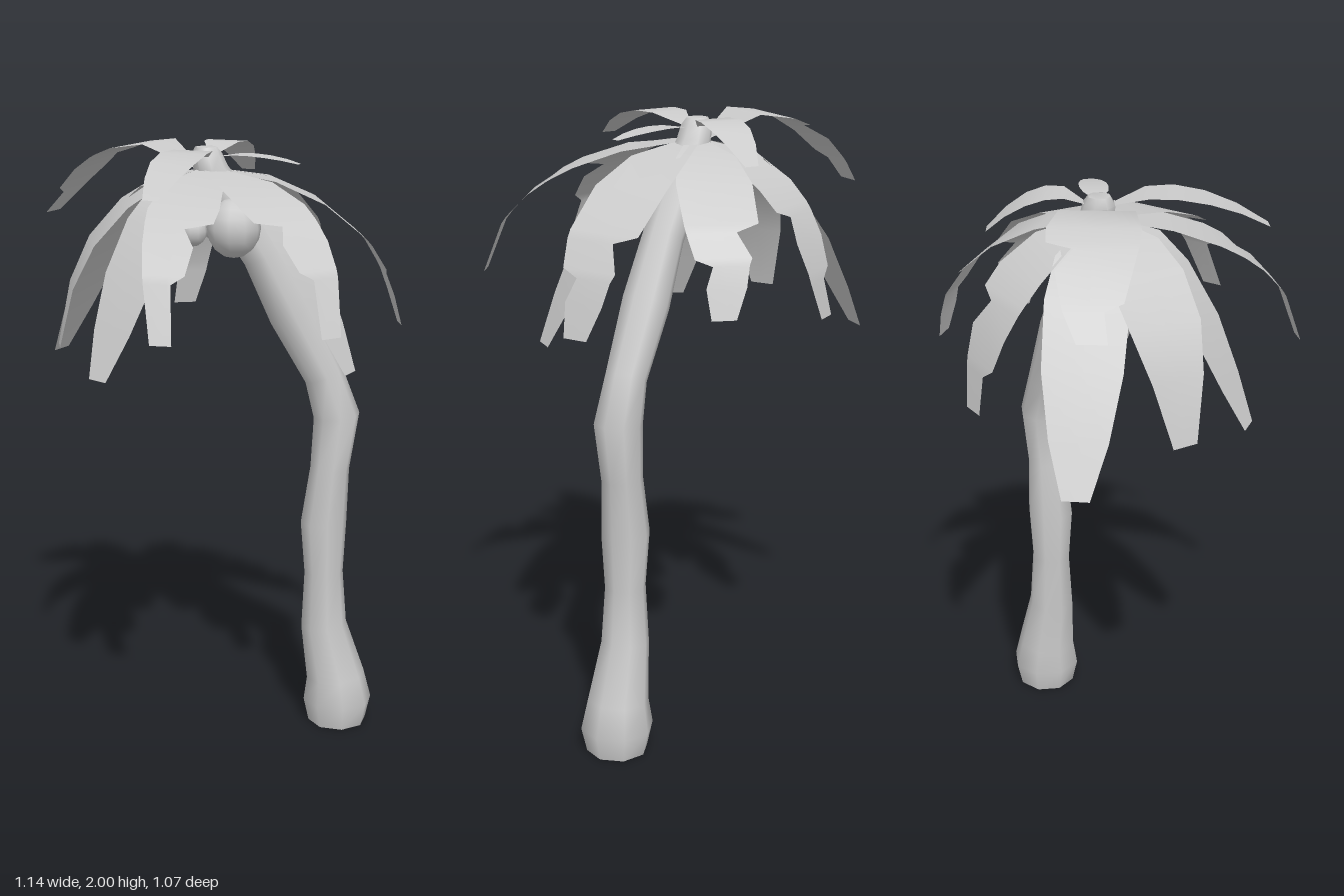
import * as THREE from 'three';
import { toCreasedNormals } from 'three/addons/utils/BufferGeometryUtils.js';

const material = new THREE.MeshStandardMaterial({ color: 0xcccccc });
const leafMaterial = new THREE.MeshStandardMaterial({ color: 0xcccccc, side: THREE.DoubleSide });
const CROWN = new THREE.Vector2(-0.055, -0.075);

function indexed(positions, indices) {
  const g = new THREE.BufferGeometry();
  g.setAttribute('position', new THREE.Float32BufferAttribute(positions, 3));
  g.setIndex(indices);
  g.computeVertexNormals();
  return g;
}

// Trunk: rings [x, y, radius, lean in radians] joined into a closed tube
function makeTrunk() {
  const rings = [
    [0.39, 0, 0.1, 0], [0.39, 0.08, 0.118, 0], [0.382, 0.17, 0.1, 0.1],
    [0.338, 0.36, 0.078, 0.1], [0.335, 0.55, 0.066, 0], [0.332, 0.73, 0.078, 0],
    [0.35, 0.92, 0.066, -0.08], [0.37, 1.1, 0.077, 0.1], [0.325, 1.24, 0.066, 0.4],
    [0.215, 1.45, 0.076, 0.5], [0.12, 1.64, 0.066, 0.5], [0.02, 1.8, 0.07, 0.5],
    [-0.045, 1.91, 0.055, 0.3], [-0.06, 1.96, 0.05, 0.1], [-0.062, 1.985, 0.035, 0],
  ];
  const sides = 8, positions = [], indices = [];
  for (const [x, y, r, lean] of rings) {
    for (let i = 0; i < sides; i++) {
      const a = (i / sides) * Math.PI * 2;
      const c = Math.cos(a) * r;
      positions.push(x + c * Math.cos(lean), y + c * Math.sin(lean), -0.06 - 0.02 * (y / 2) ** 4 + Math.sin(a) * r);
    }
  }
  for (let j = 0; j < rings.length - 1; j++) {
    for (let i = 0; i < sides; i++) {
      const a = j * sides + i, b = j * sides + (i + 1) % sides;
      indices.push(a, a + sides, b, b, a + sides, b + sides);
    }
  }
  const last = (rings.length - 1) * sides;
  for (let i = 1; i < sides - 1; i++) {
    indices.push(0, i, i + 1, last, last + i + 1, last + i);
  }
  return toCreasedNormals(indexed(positions, indices), 0.95);
}

// Outlines: rows [distance along leaf, left half width, right half width];
// a sudden change between close rows makes a torn notch
const outlines = {
  whole: [[0, 0.2, 0.2], [0.22, 0.85, 0.85], [0.4, 1, 1], [0.6, 0.95, 0.95],
    [0.8, 0.7, 0.7], [1, 0.33, 0.33]],
  notched: [[0, 0.2, 0.2], [0.22, 0.8, 0.8], [0.42, 1, 1], [0.62, 0.95, 0.98],
    [0.66, 0.35, 0.95], [0.78, 0.68, 0.8], [0.81, 0.6, 0.35], [0.88, 0.5, 0.55], [1, 0.2, 0.45]],
  torn: [[0, 0.2, 0.2], [0.25, 0.85, 0.8], [0.45, 1, 1], [0.56, 0.98, 0.98],
    [0.6, 0.95, 0.4], [0.72, 0.85, 0.75], [0.84, 0.7, 0.6], [0.87, 0.3, 0.55], [1, 0.4, 0.25]],
  splitRight: [[0, 0.2, 0.2], [0.22, 0.85, 0.85], [0.4, 1, 1], [0.48, 0.95, 0.95],
    [0.51, 0.92, 0.2], [0.6, 0.85, 0.55], [0.74, 0.7, 0.45], [0.78, 0.65, 0.1], [1, 0.35, 0.25]],
};
outlines.splitLeft = outlines.splitRight.map(([t, left, right]) => [t, right, left]);

// Sideways profiles: (share of reach, share of drop)
const profile = (points) => new THREE.SplineCurve(points.map(([x, y]) => new THREE.Vector2(x, y)));
const droop = profile([[0, 0], [0.3, 0.06], [0.55, 0.19], [0.77, 0.4], [0.91, 0.65], [1, 1]]);
const slope = profile([[0, 0], [0.3, 0.08], [0.5, 0.24], [0.71, 0.5], [0.87, 0.77], [1, 1]]);
const arch = profile([[0, 0.3], [0.25, 0], [0.5, 0.1], [0.75, 0.42], [1, 1]]);

// Leaf: a thin bent strip from the crown to its tip
function makeLeaf([tipX, tipY, tipZ], startY, halfWidth, outline, curve, rootGap) {
  const dir = new THREE.Vector2(tipX, tipZ).sub(CROWN);
  const reach = dir.length() - rootGap;
  dir.normalize();
  const positions = [], indices = [];
  const rows = outlines[outline];
  rows.forEach(([t, left, right], j) => {
    const p = curve.getPoint(t);
    const out = rootGap + p.x * reach;
    for (const w of [left, 0, -right]) {
      positions.push(
        CROWN.x + dir.x * out + dir.y * w * halfWidth,
        startY - p.y * (startY - tipY),
        CROWN.y + dir.y * out - dir.x * w * halfWidth);
    }
    if (j === rows.length - 1) return;
    for (let i = 0; i < 2; i++) {
      const a = j * 3 + i;
      indices.push(a, a + 1, a + 3, a + 1, a + 4, a + 3);
    }
  });
  return indexed(positions, indices);
}

export function createModel() {
  const group = new THREE.Group();
  const add = (name, geometry, mat = material) => {
    const mesh = new THREE.Mesh(geometry, mat);
    mesh.name = name;
    group.add(mesh);
    return mesh;
  };

  add('trunk', makeTrunk());

  // Drooping lower leaves
  const lower = [
    ['leftSide', [0.57, 1.41, -0.06], 0.125, 'notched', droop],
    ['frontLeftCorner', [0.36, 1.31, 0.22], 0.115, 'whole', slope],
    ['frontLeft', [0.24, 1.49, 0.53], 0.115, 'splitRight', droop],
    ['frontRight', [-0.25, 1.48, 0.53], 0.11, 'splitLeft', droop],
    ['frontRightCorner', [-0.43, 1.31, 0.235], 0.115, 'whole', slope],
    ['rightSide', [-0.54, 1.36, -0.06], 0.125, 'whole', droop],
    ['backRightCorner', [-0.53, 1.27, -0.42], 0.125, 'whole', slope],
    ['back', [-0.085, 1.4, -0.53], 0.115, 'torn', droop],
    ['backLeftCorner', [0.34, 1.47, -0.43], 0.115, 'notched', droop],
  ];
  for (const [name, tip, w, outline, curve] of lower) {
    add(name + 'LowerLeaf', makeLeaf(tip, 1.92, w, outline, curve, 0), leafMaterial);
  }

  // Flatter upper leaves around the knob: name, tip, half width, outline, top height
  const upper = [
    ['backRight', [-0.54, 1.75, -0.38], 0.135, 'torn', 1.995],
    ['frontRight', [-0.27, 1.88, 0.39], 0.075, 'whole', 1.99],
    ['small', [0.22, 1.94, 0.04], 0.045, 'whole', 1.965],
    ['back', [0.11, 1.88, -0.37], 0.07, 'whole', 1.995],
  ];
  for (const [name, tip, w, outline, top] of upper) {
    add(name + 'UpperLeaf', makeLeaf(tip, top, w, outline, arch, 0.04), leafMaterial);
  }

  // Coconuts hanging under the crown: x, y, z, radius
  const nuts = [
    [0.01, 1.75, 0.08, 0.085], [-0.12, 1.78, -0.09, 0.08],
    [0.03, 1.81, -0.19, 0.053], [-0.02, 1.73, -0.13, 0.05], [-0.11, 1.73, -0.01, 0.045],
  ];
  for (const [x, y, z, r] of nuts) {
    const nut = add('coconut', new THREE.SphereGeometry(r, 10, 8));
    nut.position.set(x, y, z);
    nut.scale.y = 1.1;
  }
  return group;
}
